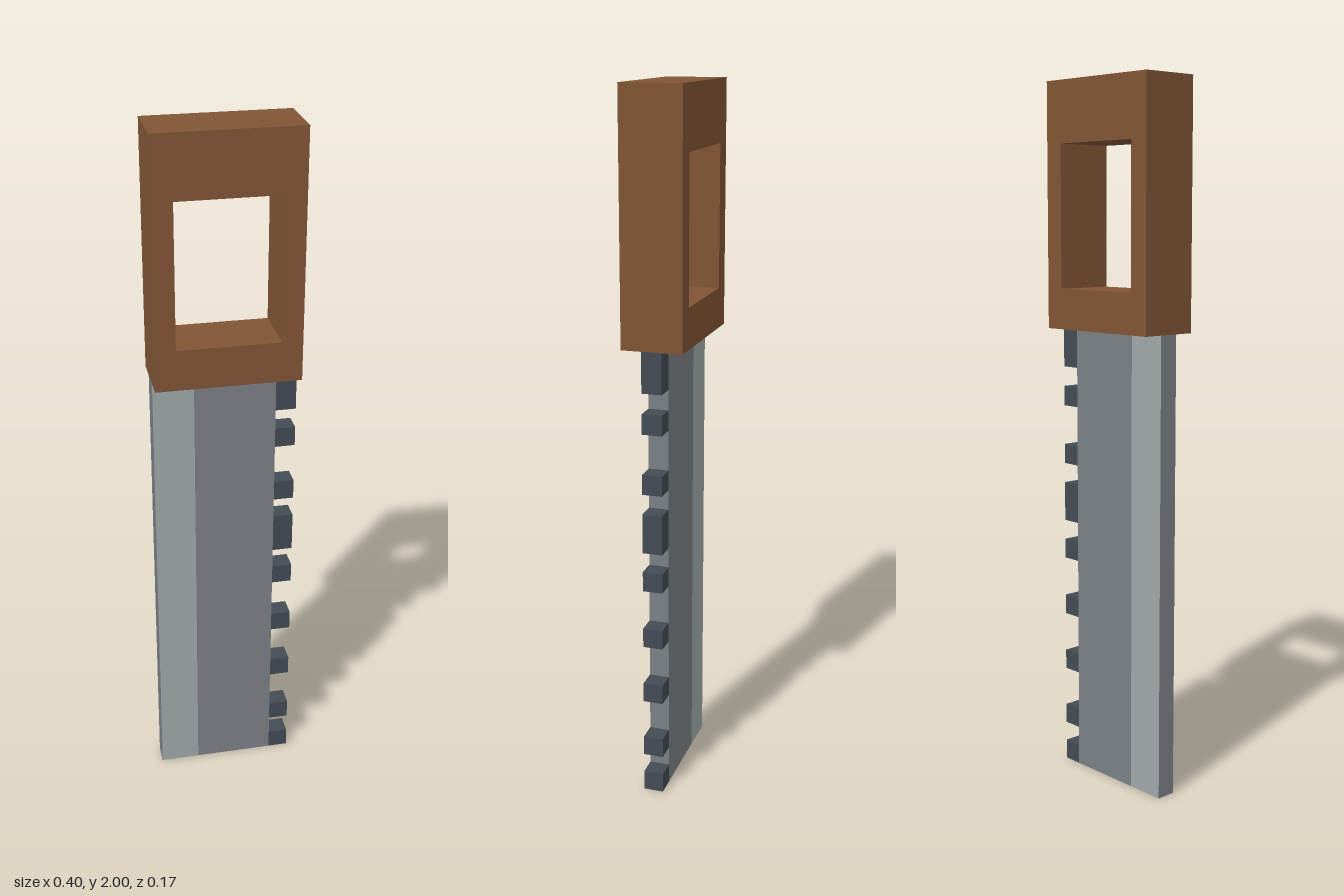
import * as THREE from 'three';

const U = 2 / 35; // one block of the model's grid

function material(name, color) {
  const m = new THREE.MeshStandardMaterial({ color });
  m.name = name;
  return m;
}

// Box given by its limits in blocks
function block(name, mat, x0, x1, y0, y1, halfDepth) {
  const geometry = new THREE.BoxGeometry((x1 - x0) * U, (y1 - y0) * U, halfDepth * 2 * U);
  const mesh = new THREE.Mesh(geometry, mat);
  mesh.position.set(((x0 + x1) / 2) * U, ((y0 + y1) / 2) * U, 0);
  mesh.name = name;
  return mesh;
}

export function createModel() {
  const wood = material('brown wood', 0x805535);
  const steel = material('grey steel', 0x7b8086);
  const paleSteel = material('pale steel', 0xa0a8aa);
  const darkSteel = material('dark steel', 0x434b54);

  const saw = new THREE.Group();
  saw.name = 'handSaw';

  // Handle: rectangular frame with a grip opening
  const outline = new THREE.Shape([[-3.5, 23], [3.5, 23], [3.5, 35], [-3.5, 35]]
    .map(([x, y]) => new THREE.Vector2(x * U, y * U)));
  outline.holes.push(new THREE.Path([[-2.5, 25], [-2.5, 32], [2.5, 32], [2.5, 25]]
    .map(([x, y]) => new THREE.Vector2(x * U, y * U))));
  const frame = new THREE.ExtrudeGeometry(outline, { depth: 3 * U, bevelEnabled: false });
  frame.translate(0, 0, -1.5 * U);
  const handle = new THREE.Mesh(frame, wood);
  handle.name = 'handle';
  saw.add(handle);

  // Blade, with a paler band on both broad faces along its back
  saw.add(block('blade', steel, -1.5, 2.5, 0, 23, 0.5));
  saw.add(block('bladeBack', [steel, steel, steel, steel, paleSteel, paleSteel],
    -3.5, -1.5, 0, 23, 0.5));

  // Teeth: bottom and top of each along the cutting edge
  const teeth = new THREE.Group();
  teeth.name = 'teeth';
  [[0, 1], [2, 3], [5, 6], [8, 9], [11, 12], [13, 15], [16, 17], [19, 20], [21, 23]]
    .forEach(([y0, y1], i) => teeth.add(block(`tooth${i + 1}`, darkSteel, 2.5, 3.5, y0, y1, 0.5)));
  saw.add(teeth);

  return saw;
}
